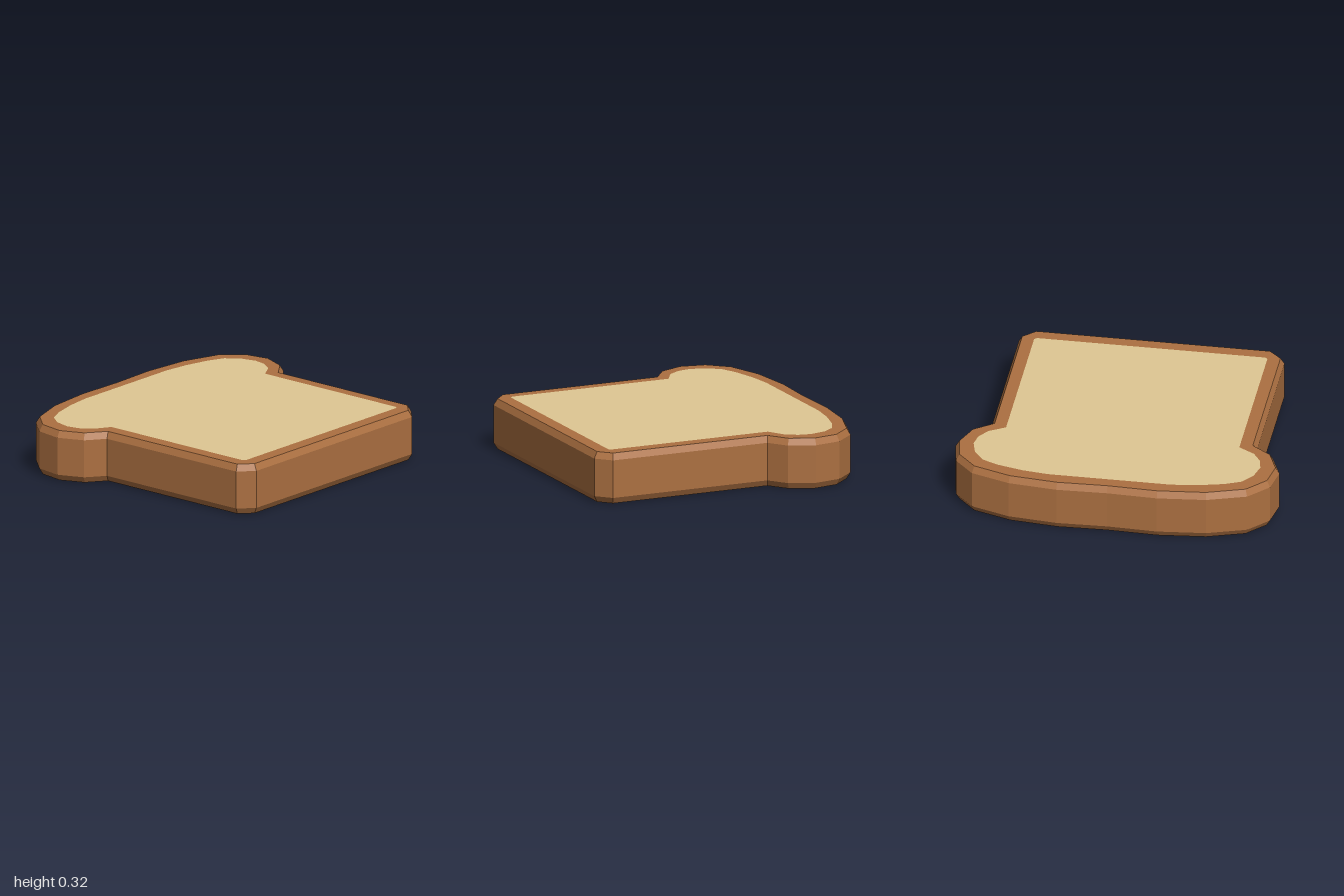
import * as THREE from 'three';

// Right halves of the outlines as [x, z], from the domed back to the front edge
const CRUST = [[0, -0.88], [0.31, -0.89], [0.61, -0.86], [0.85, -0.78], [0.97, -0.65],
  [1, -0.48], [0.935, -0.32], [0.82, -0.235], [0.82, 0.8], [0.73, 0.885]];
const CRUMB = [[0, -0.785], [0.38, -0.785], [0.54, -0.765], [0.7, -0.725], [0.8, -0.68],
  [0.86, -0.6], [0.885, -0.5], [0.87, -0.42], [0.82, -0.345], [0.72, -0.285],
  [0.72, 0.765], [0.705, 0.78]];

// Mirror a half outline into a closed shape (shape y = -z)
function mirroredShape(half) {
  const right = half.map(([x, z]) => new THREE.Vector2(x, -z));
  const left = half.slice(1).reverse().map(([x, z]) => new THREE.Vector2(-x, -z));
  return new THREE.Shape([...right, ...left]);
}

export function createModel() {
  const crustBrown = new THREE.MeshStandardMaterial({ color: 0xac7041 });
  const crumbCream = new THREE.MeshStandardMaterial({ color: 0xdfc893 });
  const model = new THREE.Group();
  model.name = 'breadSlice';

  // Crust: extruded slab with one chamfer on both rims
  const height = 0.316, chamfer = 0.04, inset = 0.023;
  const slab = new THREE.ExtrudeGeometry(mirroredShape(CRUST), {
    depth: height - 2 * chamfer, bevelThickness: chamfer,
    bevelSize: inset, bevelOffset: -inset, bevelSegments: 1,
  });
  slab.rotateX(-Math.PI / 2).translate(0, chamfer + 0.002, 0);
  const crust = new THREE.Mesh(slab, crustBrown);
  crust.name = 'crust';
  model.add(crust);

  // Crumb: a thin face on the top and the bottom
  for (const [name, angle, y] of [['topCrumb', -Math.PI / 2, 0.32], ['bottomCrumb', Math.PI / 2, 0]]) {
    const face = new THREE.ShapeGeometry(mirroredShape(
      angle < 0 ? CRUMB : CRUMB.map(([x, z]) => [x, -z])));
    const crumb = new THREE.Mesh(face.rotateX(angle), crumbCream);
    crumb.name = name;
    crumb.position.y = y;
    model.add(crumb);
  }
  return model;
}
